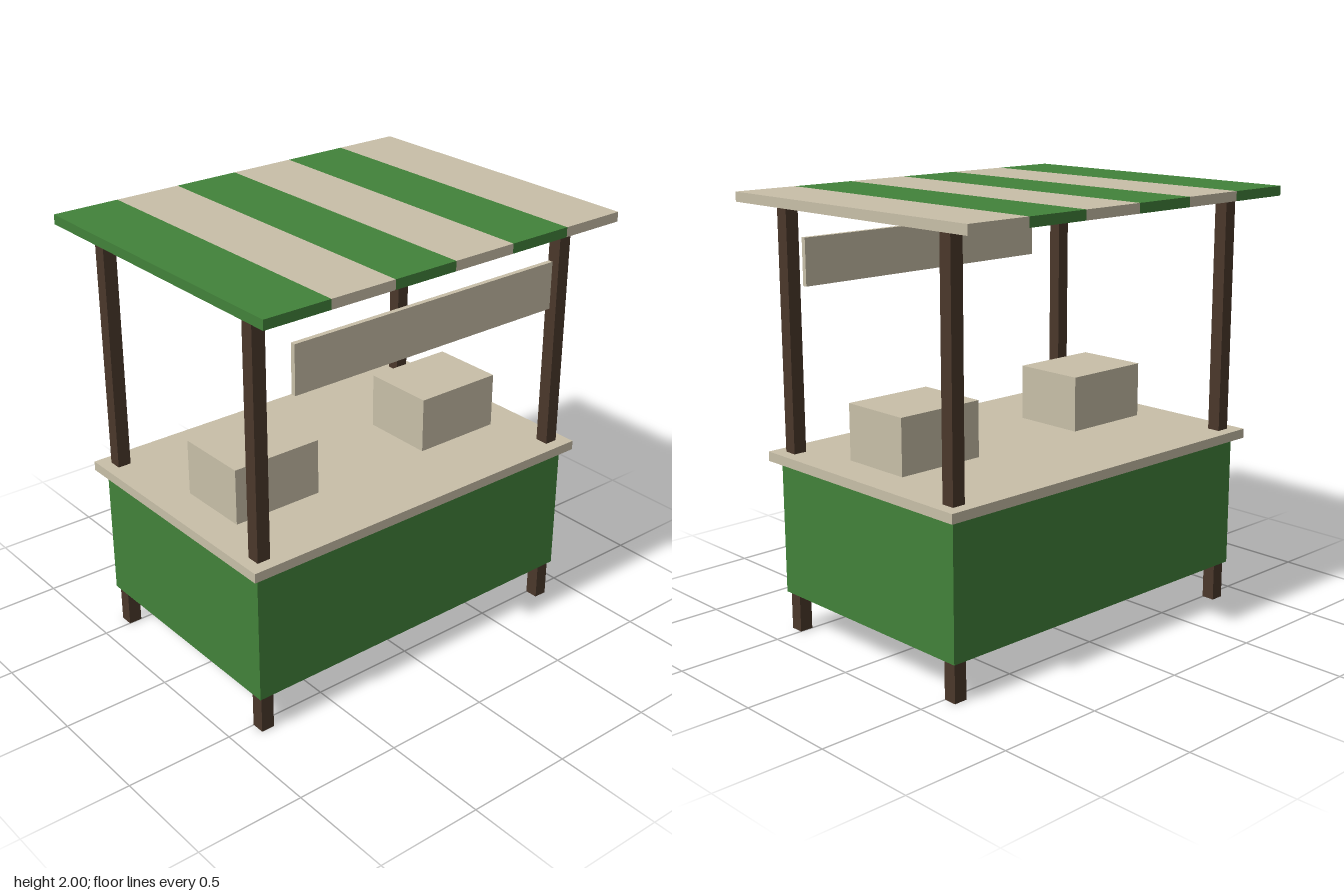
import * as THREE from 'three';

export function createModel() {
  const stall = new THREE.Group();
  stall.name = 'marketStall';

  const material = (name, color) => {
    const m = new THREE.MeshStandardMaterial({ color });
    m.name = name;
    return m;
  };
  const green = material('green', 0x42823a);
  const cream = material('cream', 0xc8bfa8);
  const wood = material('darkWood', 0x4a382b);

  // Box given by its size and centre
  const box = (name, mat, [w, h, d], [x, y, z], parent = stall) => {
    const mesh = new THREE.Mesh(new THREE.BoxGeometry(w, h, d), mat);
    mesh.name = name;
    mesh.position.set(x, y, z);
    parent.add(mesh);
    return mesh;
  };

  // Four corner posts running from the ground to just under the roof
  const posts = new THREE.Group();
  posts.name = 'posts';
  stall.add(posts);
  for (const [sx, xName] of [[-1, 'Right'], [1, 'Left']]) {
    for (const [sz, zName] of [[-1, 'back'], [1, 'front']]) {
      box(`${zName}${xName}Post`, wood, [0.063, 1.945, 0.063], [sx * 0.837, 0.9725, sz * 0.53], posts);
    }
  }

  // Stall body and countertop, with a narrow gap between them
  box('stallBody', green, [1.765, 0.615, 1.15], [0, 0.4875, 0]);
  box('countertop', cream, [1.848, 0.044, 1.236], [0, 0.825, 0]);

  // Goods boxes on the counter
  box('rightCrate', cream, [0.441, 0.26, 0.353], [-0.531, 0.977, 0.078]);
  box('leftCrate', cream, [0.441, 0.26, 0.353], [0.527, 0.977, 0.074]);

  // Blank sign board hung at the front
  box('signBoard', cream, [1.412, 0.219, 0.023], [-0.001, 1.681, 0.604]);

  // Flat striped roof
  const roof = new THREE.Group();
  roof.name = 'roof';
  stall.add(roof);
  const count = 6, width = 1.902, stripe = width / count;
  for (let i = 0; i < count; i++) {
    box(`roofStripe${i + 1}`, i % 2 ? cream : green, [stripe, 0.044, 1.5],
      [-width / 2 + (i + 0.5) * stripe, 1.978, 0], roof);
  }

  return stall;
}
